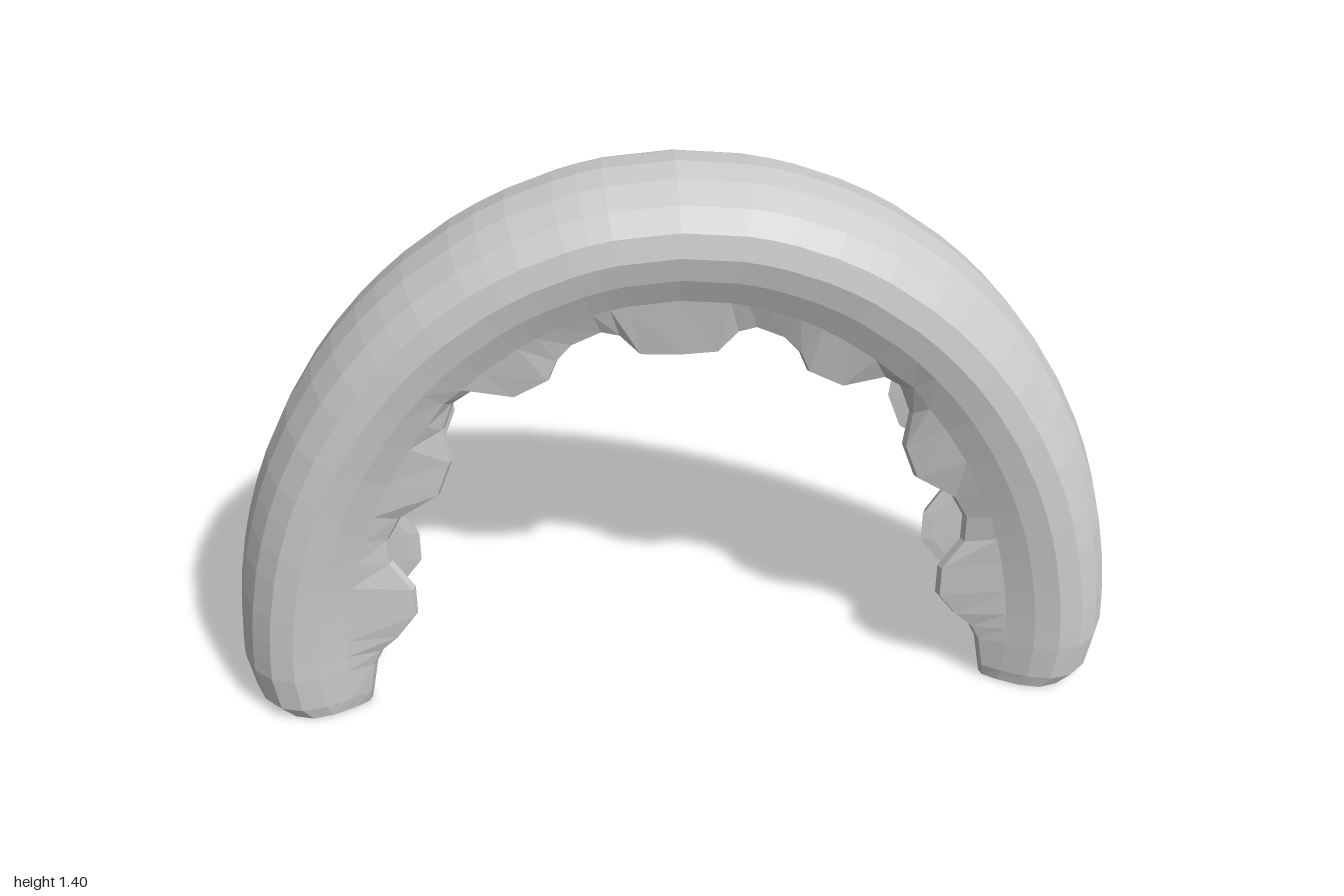
import * as THREE from 'three';

// Scalloped lip edge of one leg, from the foot up to the crown: [u, y]
const LIP = [
  [0.756, 0.003], [0.75, 0.04], [0.735, 0.13], [0.715, 0.17], [0.672, 0.21], [0.628, 0.27], [0.628, 0.35],
  [0.677, 0.43], [0.677, 0.5], [0.645, 0.56], [0.552, 0.62], [0.519, 0.71], [0.53, 0.8],
  [0.505, 0.87], [0.46, 0.9], [0.366, 0.88], [0.29, 0.92], [0.27, 0.97], [0.235, 1.01],
  [0.17, 1.04], [0.13, 1.03], [0.085, 0.98], [0, 0.975],
];
const END_SCALE = [0.8, 0.94]; // rounding of the feet
const HALF = 15;               // index of the groove centre in the section
const A = 1.07, B = 1.3, FOOT = 0.1; // outer ellipse radii and the height of its centre

// Half of the C-shaped section: [inset from the outer curve, sideways offset]
function halfSection(L) {
  return [
    [0, 0], [0.01, 0.07], [0.04, 0.135], [0.085, 0.176], [0.14, 0.188], [0.2, 0.176],
    [Math.min(0.265, L - 0.03), 0.148], [L - 0.008, 0.124], [L, 0.105], [L - 0.03, 0.101],
    [Math.min(0.262, L - 0.05), 0.095], [0.24, 0.086], [0.233, 0.066], [0.227, 0.045], [0.223, 0.02], [0.222, 0],
  ];
}

// Nearest point of the outer curve, so every section stands square to it
function outerPoint(u, y) {
  if (y <= FOOT) return [A, y];
  let t = Math.atan2(y - FOOT, u);
  for (let i = 0; i < 60; i++) {
    const c = Math.cos(t), s = Math.sin(t);
    const tu = -A * s, ty = B * c;
    t += ((u - A * c) * tu + (y - FOOT - B * s) * ty) / (tu * tu + ty * ty);
  }
  return [A * Math.cos(t), FOOT + B * Math.sin(t)];
}

// Full closed section at one station; side is 1 or -1 for the two legs
function ring([u, y], scale, side) {
  const [ou, oy] = outerPoint(u, y);
  const L = Math.hypot(u - ou, y - oy);
  const du = (u - ou) / L, dy = (y - oy) / L;
  const half = halfSection(L);
  const mirrored = half.slice(1, HALF).reverse().map(([r, w]) => [r, -w]);
  return [...half, ...mirrored].map(([r, w]) => {
    const inset = 0.3 + (r - 0.3) * scale;
    return [side * (ou + du * inset), oy + dy * inset, w * (1 + scale) / 2];
  });
}

function archGeometry() {
  const leg = side => LIP.map((p, i) => ring(p, END_SCALE[i] ?? 1, side));
  const rings = [...leg(1), ...leg(-1).reverse().slice(1)];
  const n = rings[0].length;
  const index = [];
  // Skin between neighbouring sections
  for (let i = 0; i < rings.length - 1; i++) {
    for (let j = 0; j < n; j++) {
      const a = i * n + j, b = i * n + (j + 1) % n;
      index.push(a, a + n, b, b, a + n, b + n);
    }
  }
  // Foot caps, each half joining the outer wall to the groove wall
  for (const end of [0, 1]) {
    const base = end * (rings.length - 1) * n;
    for (const mirror of [0, 1]) {
      const at = j => base + (mirror ? (n - j) % n : j);
      for (let j = 0; j < (HALF - 1) / 2; j++) {
        const a = at(j), b = at(j + 1), c = at(HALF - j), d = at(HALF - j - 1);
        if (end === mirror) index.push(a, b, c, b, d, c);
        else index.push(a, c, b, b, c, d);
      }
    }
  }
  const geometry = new THREE.BufferGeometry();
  geometry.setAttribute('position', new THREE.Float32BufferAttribute(rings.flat(2), 3));
  geometry.setIndex(index);
  geometry.computeVertexNormals();
  return geometry;
}

export function createModel() {
  const model = new THREE.Group();
  model.name = 'mouthGuard';
  const material = new THREE.MeshStandardMaterial({ color: 0xcccccc, flatShading: true });
  const arch = new THREE.Mesh(archGeometry(), material);
  arch.name = 'groovedArch';
  arch.rotation.y = -0.41;
  model.add(arch);
  return model;
}
